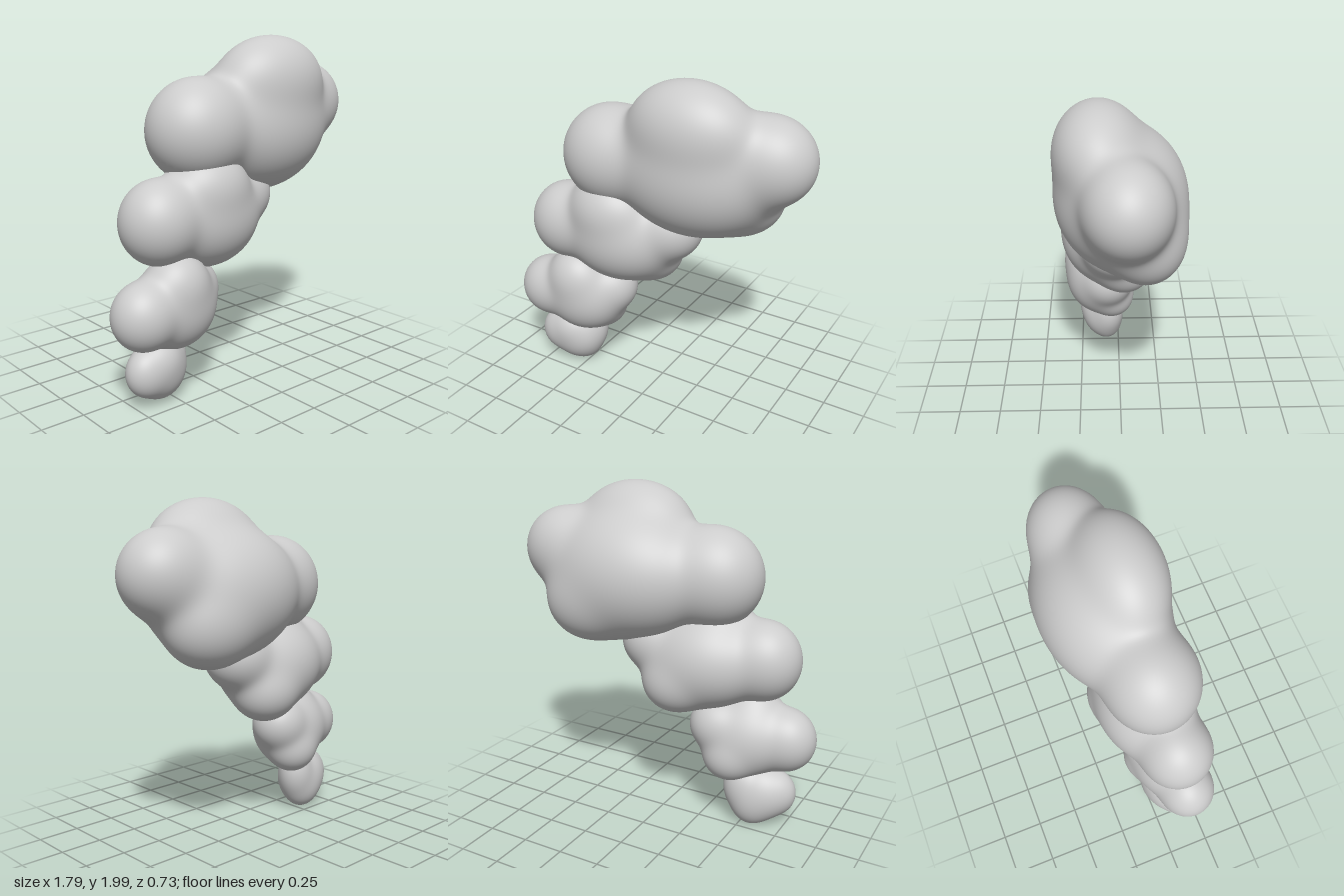
import * as THREE from 'three';
import { mergeVertices } from 'three/addons/utils/BufferGeometryUtils.js';

const smoke = new THREE.MeshStandardMaterial({ color: 0xcccccc });
smoke.name = 'pale grey';

// Each puff: blend width and lobes [centre x, y, z, radius x, y, z]; the first lobe is the body
const puffs = [
  { name: 'largePuff', blend: 0.042, lobes: [
    [0.21, 1.47, 0, 0.48, 0.38, 0.36],
    [-0.28, 1.49, 0.085, 0.29, 0.29, 0.265],
    [0.64, 1.59, -0.025, 0.255, 0.245, 0.225],
    [0.24, 1.74, 0.12, 0.345, 0.255, 0.235],
    [0.42, 1.31, -0.13, 0.26, 0.225, 0.205],
  ] },
  { name: 'mediumPuff', blend: 0.034, lobes: [
    [-0.24, 1.0, 0.075, 0.35, 0.285, 0.275],
    [-0.58, 1.03, 0.135, 0.22, 0.235, 0.21],
    [0.07, 1.09, 0.03, 0.195, 0.19, 0.19],
    [-0.26, 1.18, 0.15, 0.24, 0.2, 0.2],
    [-0.1, 0.865, -0.03, 0.195, 0.175, 0.175],
  ] },
  { name: 'smallPuff', blend: 0.028, lobes: [
    [-0.49, 0.54, 0.135, 0.25, 0.235, 0.205],
    [-0.72, 0.55, 0.18, 0.18, 0.19, 0.17],
    [-0.325, 0.61, 0.07, 0.16, 0.16, 0.155],
    [-0.5, 0.68, 0.185, 0.175, 0.175, 0.16],
    [-0.42, 0.43, 0.04, 0.15, 0.14, 0.135],
  ] },
  { name: 'tinyPuff', blend: 0.02, lobes: [
    [-0.59, 0.195, 0.115, 0.165, 0.165, 0.13],
    [-0.69, 0.21, 0.15, 0.115, 0.13, 0.1],
    [-0.49, 0.25, 0.07, 0.1, 0.145, 0.095],
    [-0.6, 0.26, 0.15, 0.11, 0.11, 0.1],
    [-0.555, 0.135, 0.08, 0.115, 0.125, 0.095],
  ] },
];

// Approximate signed distance to one ellipsoid
function lobeDistance(p, [cx, cy, cz, rx, ry, rz]) {
  const x = (p.x - cx) / rx, y = (p.y - cy) / ry, z = (p.z - cz) / rz;
  const a = Math.hypot(x, y, z);
  const b = Math.hypot(x / rx, y / ry, z / rz);
  return b < 1e-6 ? -Math.min(rx, ry, rz) : a * (a - 1) / b;
}

// Smooth union of all lobes
function puffDistance(p, { lobes, blend }) {
  let sum = 0;
  for (const lobe of lobes) sum += Math.exp(-lobeDistance(p, lobe) / blend);
  return -blend * Math.log(sum + 1e-300);
}

// Pull a fine sphere outward from the body centre onto the blended surface
function puffGeometry(puff) {
  const ball = new THREE.IcosahedronGeometry(1, 36);
  ball.deleteAttribute('uv');
  ball.deleteAttribute('normal');
  const geometry = mergeVertices(ball, 1e-5);
  const position = geometry.attributes.position;
  const centre = new THREE.Vector3(...puff.lobes[0]);
  const dir = new THREE.Vector3(), p = new THREE.Vector3();
  const at = (t) => puffDistance(p.copy(centre).addScaledVector(dir, t), puff);
  const step = 0.01;

  for (let i = 0; i < position.count; i++) {
    dir.fromBufferAttribute(position, i).normalize();
    let outer = 1;
    while (outer > step && at(outer - step) > 0) outer -= step;
    let inner = outer - step;
    for (let n = 0; n < 12; n++) {
      const mid = (inner + outer) / 2;
      if (at(mid) > 0) outer = mid; else inner = mid;
    }
    p.copy(centre).addScaledVector(dir, inner);
    position.setXYZ(i, p.x, p.y, p.z);
  }
  geometry.computeVertexNormals();
  return geometry;
}

export function createModel() {
  const group = new THREE.Group();
  group.name = 'smokeTrail';
  for (const puff of puffs) {
    const mesh = new THREE.Mesh(puffGeometry(puff), smoke);
    mesh.name = puff.name;
    group.add(mesh);
  }
  // Stand the trail on the ground
  const box = new THREE.Box3().setFromObject(group);
  group.position.y = -box.min.y;
  return group;
}
